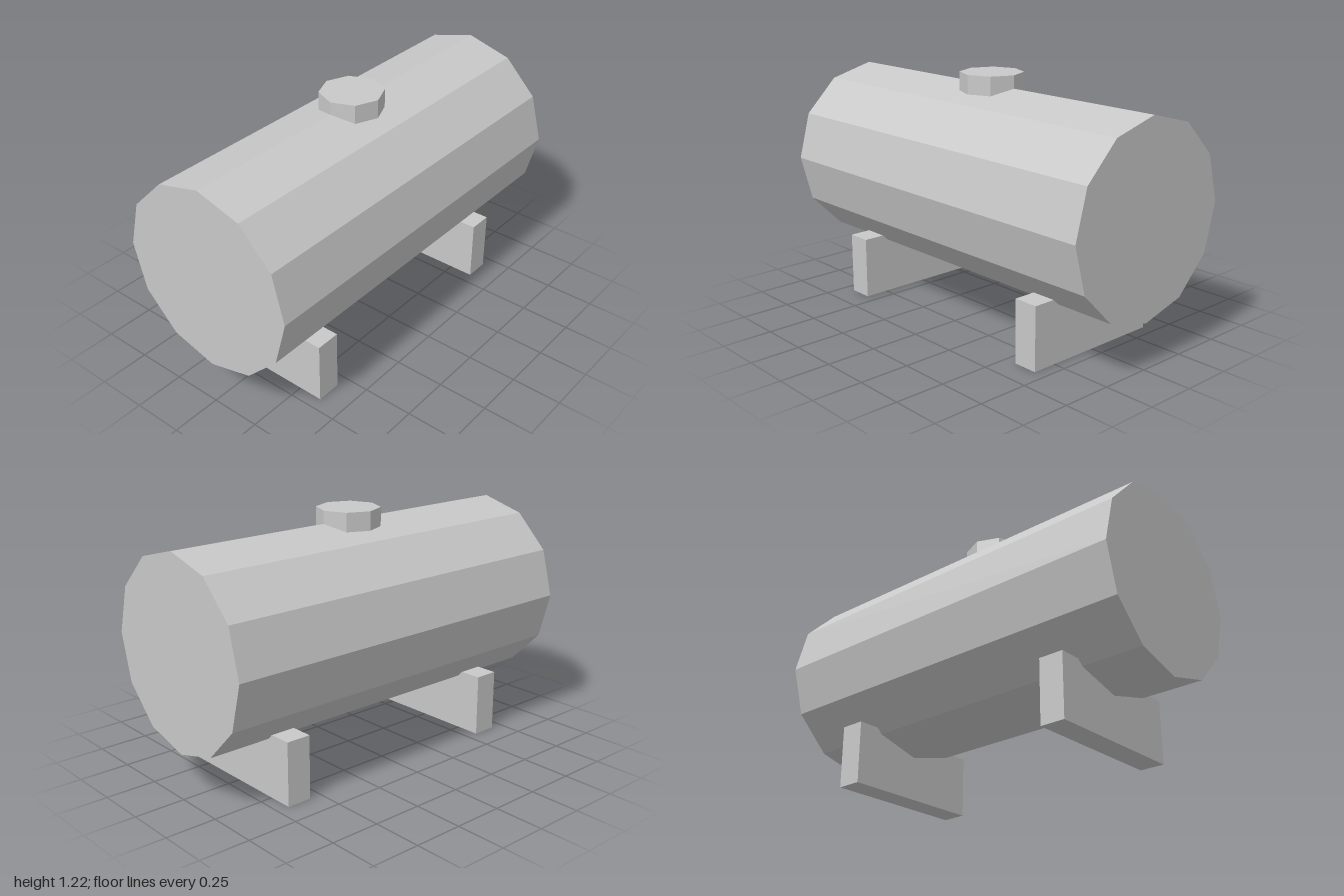
import * as THREE from 'three';

export function createModel() {
  const group = new THREE.Group();
  const grey = new THREE.MeshStandardMaterial({ color: 0xc8c8c8 });
  grey.name = 'light grey';
  grey.flatShading = true;

  const add = (name, geometry, x, y, z) => {
    const mesh = new THREE.Mesh(geometry, grey);
    mesh.name = name;
    mesh.position.set(x, y, z);
    group.add(mesh);
    return mesh;
  };

  // Twelve-sided tank lying along z, with a corner at the top
  add('tank', new THREE.CylinderGeometry(0.467, 0.467, 2, 12).rotateX(Math.PI / 2), 0, 0.69, 0);

  // Eight-sided hatch on top
  add('hatch', new THREE.CylinderGeometry(0.156, 0.156, 0.093, 8), 0, 1.174, 0);

  // Front and back supports
  for (const [name, side] of [['frontSupport', 1], ['backSupport', -1]]) {
    add(name, new THREE.BoxGeometry(0.746, 0.313, 0.125), 0, 0.1565, side * 0.625);
  }

  return group;
}
